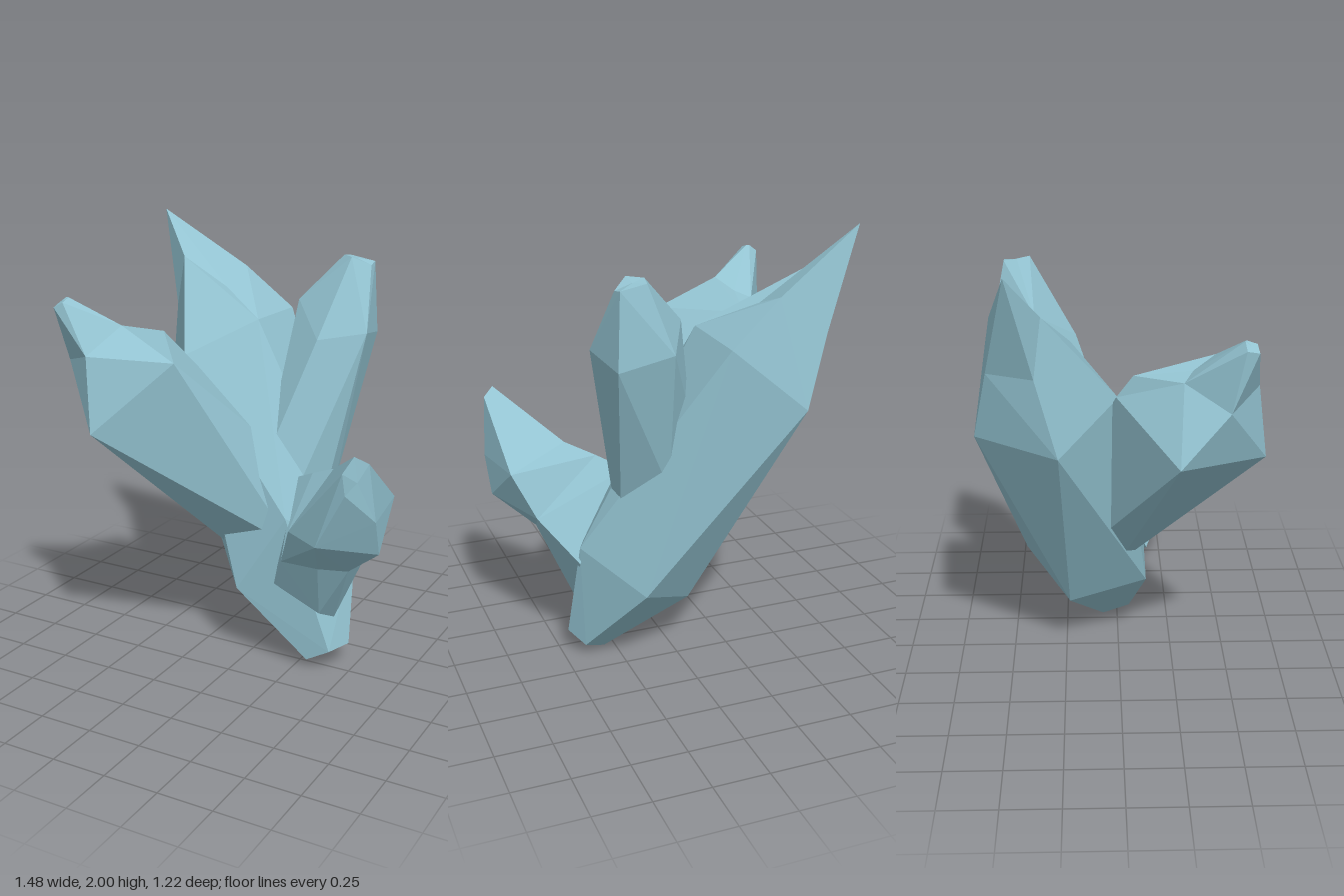
import * as THREE from 'three';

// Each crystal is a list of rings from root to tip, clockwise from above.
const tallCrystal = [
  // foot
  [[0.41, 0.06, -0.14], [0.47, 0.11, -0.06], [0.42, 0.1, 0.05], [0.31, 0.04, 0.06], [0.3, 0, -0.07]],
  // lower ring
  [[0.22, 0.42, -0.44], [0.44, 0.58, -0.18], [0.22, 0.74, 0.11], [-0.02, 0.36, 0.13], [-0.06, 0.27, -0.23]],
  // upper ring
  [[-0.44, 1.26, -0.61], [-0.1, 1.55, -0.58], [-0.09, 1.56, -0.21], [-0.37, 1.4, -0.01], [-0.59, 1.21, -0.26]],
  // shoulder
  [[-0.55, 1.57, -0.545], [-0.33, 1.74, -0.54], [-0.33, 1.67, -0.34], [-0.55, 1.8, -0.32], [-0.61, 1.56, -0.35]],
  // tip
  [[-0.73, 2, -0.45]],
];

const frontCrystal = [
  // root, buried in the tall crystal
  [[-0.15, 0.63, -0.11], [-0.1, 0.9, -0.17], [0.05, 0.95, -0.18], [0.21, 0.57, 0.01], [-0.07, 0.48, 0]],
  // upper ring
  [[-0.74, 1.22, 0.23], [-0.42, 1.42, -0.02], [-0.44, 1.52, 0.05], [-0.16, 1.48, 0.415], [-0.47, 1.17, 0.605]],
  // shoulder
  [[-0.69, 1.44, 0.43], [-0.57, 1.53, 0.25], [-0.5, 1.56, 0.29], [-0.44, 1.61, 0.385], [-0.51, 1.5, 0.56]],
  // tip
  [[-0.69, 1.69, 0.53], [-0.7, 1.7, 0.48], [-0.66, 1.73, 0.475], [-0.645, 1.73, 0.48], [-0.645, 1.715, 0.525]],
];

const backCrystal = [
  // root
  [[0.28, 0.8, -0.28], [0.29, 0.84, -0.19], [0.19, 0.8, -0.04], [0.05, 0.92, 0.02], [-0.02, 1.2, -0.33], [0.1, 0.9, -0.4]],
  // upper ring
  [[0.37, 1.49, -0.53], [0.415, 1.53, -0.3], [0.22, 1.5, -0.19], [0.04, 1.64, -0.37], [0.04, 1.64, -0.37], [0.14, 1.55, -0.565]],
  // tip
  [[0.355, 1.82, -0.515], [0.36, 1.81, -0.46], [0.29, 1.85, -0.395], [0.23, 1.85, -0.45], [0.23, 1.85, -0.45], [0.24, 1.84, -0.51]],
];

const shortCrystal = [
  // root
  [[0.18, 0.43, 0.14], [0.18, 0.88, -0.06], [0.44, 0.5, -0.18], [0.42, 0.26, 0], [0.38, 0.3, 0.08]],
  // middle ring
  [[0.25, 0.58, 0.21], [0.3, 0.94, 0], [0.6, 0.7, -0.07], [0.55, 0.57, 0.15], [0.43, 0.58, 0.21]],
  // upper ring
  [[0.33, 0.77, 0.3], [0.43, 1, 0.06], [0.695, 0.9, 0], [0.73, 0.72, 0.24], [0.51, 0.77, 0.41]],
  // tip
  [[0.645, 1.13, 0.45], [0.67, 1.19, 0.39], [0.72, 1.155, 0.35], [0.74, 0.89, 0.31], [0.65, 1.03, 0.43]],
];

function centre(ring) {
  const sum = ring.reduce((s, p) => s.add(p), new THREE.Vector3());
  return sum.divideScalar(ring.length);
}

// Joins the rings with flat facets, folding each quad outwards, and caps both ends.
function shardGeometry(sections) {
  const body = sections.map((ring) => ring.map((p) => new THREE.Vector3(...p)));
  const rings = [[centre(body[0])], ...body, [centre(body.at(-1))]];
  const sides = body[0].length;
  const positions = [];
  const normal = new THREE.Vector3();
  const edge = new THREE.Vector3();

  const addTriangle = (a, b, c) => {
    normal.subVectors(b, a).cross(edge.subVectors(c, a));
    if (normal.length() > 1e-7) for (const p of [a, b, c]) positions.push(p.x, p.y, p.z);
  };

  for (let i = 0; i < rings.length - 1; i++) {
    for (let j = 0; j < sides; j++) {
      const corner = (ring, k) => ring[(k % sides) % ring.length];
      const a = corner(rings[i], j + 1);
      const b = corner(rings[i], j);
      const c = corner(rings[i + 1], j);
      const d = corner(rings[i + 1], j + 1);
      normal.subVectors(b, a).cross(edge.subVectors(c, a));
      if (normal.dot(edge.subVectors(d, a)) > 0) {
        addTriangle(a, b, d);
        addTriangle(b, c, d);
      } else {
        addTriangle(a, b, c);
        addTriangle(a, c, d);
      }
    }
  }

  const geometry = new THREE.BufferGeometry();
  geometry.setAttribute('position', new THREE.Float32BufferAttribute(positions, 3));
  geometry.computeVertexNormals();
  return geometry;
}

export function createModel() {
  const crystal = new THREE.MeshStandardMaterial({ color: 0x93c3d1 });
  crystal.name = 'paleBlueCrystal';

  const model = new THREE.Group();
  model.name = 'crystalCluster';
  const shards = { tallCrystal, frontCrystal, backCrystal, shortCrystal };
  for (const [name, sections] of Object.entries(shards)) {
    const mesh = new THREE.Mesh(shardGeometry(sections), crystal);
    mesh.name = name;
    model.add(mesh);
  }
  return model;
}
